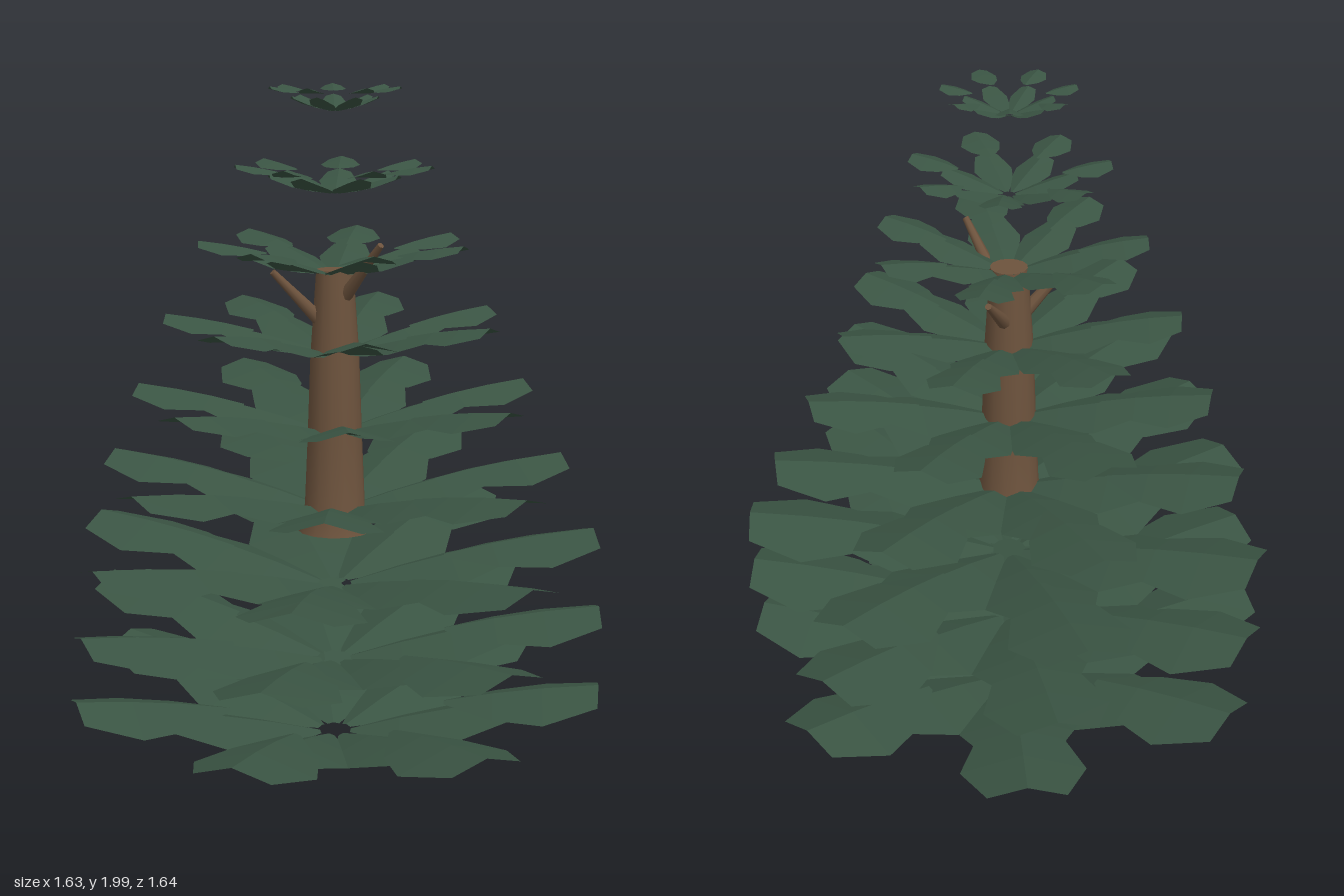
import * as THREE from 'three';

const foliage = new THREE.MeshStandardMaterial({ color: 0x3a5443, side: THREE.DoubleSide, flatShading: true });
foliage.name = 'dark green foliage';
const bark = new THREE.MeshStandardMaterial({ color: 0x6d533d });
bark.name = 'brown bark';

// Unit leaf along +x: pointed root, wide shoulder, blunt tip, edges drooping from a ridge
function leafGeometry() {
  // [distance, half width, ridge height]
  const stations = [[0, 0.1, 0], [0.32, 0.72, 0.04], [0.64, 1, 0.04], [1, 0.62, 0]];
  const pos = [], index = [];
  stations.forEach(([x, w, h]) => {
    const edgeX = x === 1 ? 0.985 : x;
    const droop = 0.28 * w;
    pos.push(edgeX, h - droop, -w, x, h, 0, edgeX, h - droop, w);
  });
  for (let i = 0; i < stations.length - 1; i++) {
    for (let j = 0; j < 2; j++) {
      const a = i * 3 + j, b = a + 1, c = a + 3, d = a + 4;
      index.push(a, b, d, a, d, c);
    }
  }
  const g = new THREE.BufferGeometry();
  g.setAttribute('position', new THREE.Float32BufferAttribute(pos, 3));
  g.setIndex(index);
  g.computeVertexNormals();
  return g;
}

// One leaf from (r0, y0) to (r1, y1) in the branch plane
function addLeaf(branch, geometry, name, r0, y0, r1, y1, halfWidth) {
  const leaf = new THREE.Mesh(geometry, foliage);
  leaf.name = name;
  leaf.position.set(r0, y0, 0);
  leaf.rotation.z = Math.atan2(y1 - y0, r1 - r0);
  leaf.scale.set(Math.hypot(r1 - r0, y1 - y0), halfWidth, halfWidth);
  // widths run across z, heights follow the width
  branch.add(leaf);
}

// Tapered stub between two points
function stub(from, to) {
  const a = new THREE.Vector3(...from), b = new THREE.Vector3(...to);
  const dir = b.clone().sub(a);
  const mesh = new THREE.Mesh(new THREE.CylinderGeometry(0.01, 0.022, dir.length(), 8), bark);
  mesh.name = 'branchStub';
  mesh.position.copy(a).add(b).multiplyScalar(0.5);
  mesh.quaternion.setFromUnitVectors(new THREE.Vector3(0, 1, 0), dir.normalize());
  return mesh;
}

export function createModel() {
  const tree = new THREE.Group();
  tree.name = 'tree';
  const geometry = leafGeometry();

  // Nine whorls of seven branches, each turned a little from the one below
  const radii = [0.815, 0.815, 0.805, 0.715, 0.61, 0.51, 0.405, 0.295, 0.195];
  const rise = 0.226, count = 7;
  radii.forEach((R, i) => {
    const tier = new THREE.Group();
    tier.name = 'tier' + (i + 1);
    const top = 0.192 + i * rise;
    const base = 0.012 + i * 0.2395;
    const w = R * (0.19 + 0.05 * R);
    for (let k = 0; k < count; k++) {
      const branch = new THREE.Group();
      branch.name = 'branch';
      const angle = (103.5 - 6 * i) * Math.PI / 180 + k * 2 * Math.PI / count;
      branch.rotation.y = -angle;
      const root = R * (0.58 - 0.2 * R);
      addLeaf(branch, geometry, 'outerLeaf', root, top - 0.09 * R, R, top, w);
      addLeaf(branch, geometry, 'innerLeaf', 0.06 * R, base, 0.66 * R, base + 0.02 + 0.12 * R, w * 0.95);
      tier.add(branch);
    }
    tree.add(tier);
  });

  // Flared trunk with a flat top
  const profile = [[0, 0.66], [0.115, 0.66], [0.092, 0.74], [0.083, 0.95], [0.074, 1.2], [0.056, 1.46]]
    .map(([x, y]) => new THREE.Vector2(x, y));
  const trunk = new THREE.Mesh(new THREE.LatheGeometry(profile.slice(1), 14), bark);
  trunk.name = 'trunk';
  tree.add(trunk);
  [[0.056, 1.46, -1], [0.115, 0.66, 1]].forEach(([r, y, s]) => {
    const cap = new THREE.Mesh(new THREE.CircleGeometry(r, 14), bark);
    cap.name = 'trunkEnd';
    cap.rotation.x = s * Math.PI / 2;
    cap.position.y = y;
    tree.add(cap);
  });

  // Three bare stubs near the trunk top
  tree.add(stub([0, 1.38, 0.04], [-0.01, 1.55, 0.2]));
  tree.add(stub([-0.04, 1.31, -0.025], [-0.17, 1.46, -0.09]));
  tree.add(stub([0.04, 1.3, -0.025], [0.165, 1.415, -0.09]));
  return tree;
}
